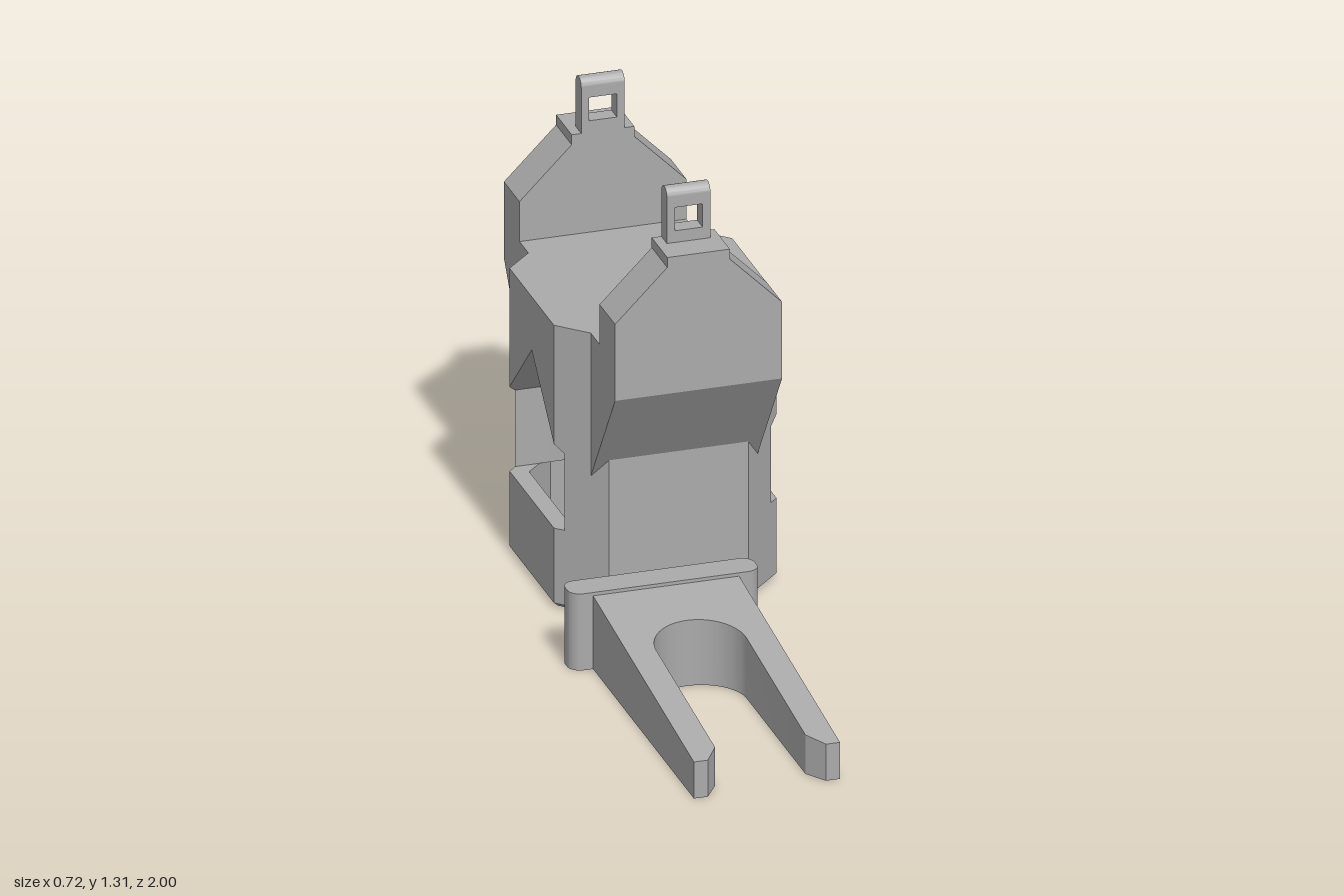
import * as THREE from 'three';
import { toCreasedNormals } from 'three/addons/utils/BufferGeometryUtils.js';

const gray = new THREE.MeshStandardMaterial({ color: 0xaaaaaa });
gray.name = 'gray';

const toShape = (pts) => new THREE.Shape(pts.map(([x, y]) => new THREE.Vector2(x, y)));

function add(parent, name, geometry) {
  const mesh = new THREE.Mesh(toCreasedNormals(geometry, 0.5), gray);
  mesh.name = name;
  parent.add(mesh);
  return mesh;
}

// Plan shape (x, -z) raised from y0 to y1
function raise(shape, y0, y1) {
  const g = new THREE.ExtrudeGeometry(shape, { depth: y1 - y0, bevelEnabled: false, curveSegments: 24 });
  return g.rotateX(-Math.PI / 2).translate(0, y0, 0);
}

// Move every vertex by a rule
function warp(g, rule) {
  const p = g.attributes.position;
  const v = new THREE.Vector3();
  for (let i = 0; i < p.count; i++) {
    rule(v.fromBufferAttribute(p, i));
    p.setXYZ(i, v.x, v.y, v.z);
  }
  return g;
}

// Chamfered rectangle of the housing, offset inwards
const A = 0.32, B = 0.317, C = 0.12;
function octagon(inset = 0) {
  const a = A - inset, b = B - inset, c = C - 0.586 * inset;
  return [[a, -b + c], [a, b - c], [a - c, b], [-a + c, b], [-a, b - c], [-a, -b + c], [-a + c, -b], [a - c, -b]];
}
function octagonRing(inset) {
  const s = toShape(octagon());
  s.holes.push(toShape(octagon(inset)));
  return s;
}

function arc(r, a0, a1, n) {
  return Array.from({ length: n + 1 }, (_, i) => {
    const t = a0 + (a1 - a0) * i / n;
    return [r * Math.cos(t), r * Math.sin(t)];
  });
}

function buildHousing() {
  const body = new THREE.Group();
  body.name = 'housing';
  const sill = 0.24, spring = 0.47, boreTop = 0.75, top = 0.85;
  const w = 0.22, r = 0.24;

  // Hollow base with chamfered foot and inner lip
  add(body, 'baseWall', raise(octagonRing(0.05), 0.015, sill));
  add(body, 'baseFoot', warp(raise(octagonRing(0.035), 0, 0.015), (v) => {
    if (v.y < 0.001) { v.x *= 0.95; v.z *= 0.95; }
  }));
  const lip = toShape(octagon(0.03));
  lip.holes.push(toShape(octagon(0.06)));
  add(body, 'baseLip', raise(lip, 0.016, 0.04));

  // End walls beside the window, hollowed by the round bore
  const t = Math.asin(w / r);
  const edge = A + B - C - w;
  for (const s of [1, -1]) {
    const pts = [[edge, w], [A - C, B], [-A + C, B], [-edge, w], ...arc(r, Math.PI - t, t, 20)];
    add(body, s > 0 ? 'backWall' : 'frontWall', raise(toShape(pts.map(([x, y]) => [x, y * s])), sill, boreTop));

    // Sloped window head, in quarters
    for (const m of [1, -1]) {
      const q = [[A, 0], [A, B - C], [edge, w], ...arc(r, t, 0, 16)];
      const g = raise(toShape(q.map(([x, y]) => [x * m, y * s])), spring, boreTop);
      add(body, 'windowHead', warp(g, (v) => {
        if (v.y < spring + 0.01) v.y = spring + w - Math.abs(v.z);
      }));
    }
  }
  add(body, 'topDeck', raise(toShape(octagon()), boreTop, top));

  for (const turn of [0, Math.PI]) {
    const bracket = buildBracket();
    bracket.name = turn ? 'backBracket' : 'frontBracket';
    bracket.rotation.y = turn;
    body.add(bracket);
  }
  return body;
}

function buildBracket() {
  const g = new THREE.Group();
  const half = 0.24, inner = 0.355, outer = 0.493;

  // Upright plate with sloped shoulders
  const right = [[half, 0.74], [half, 0.97], [0.09, 1.12], [0.09, 1.15]];
  const left = right.map(([x, y]) => [-x, y]).reverse();
  add(g, 'shoulderPlate', new THREE.ExtrudeGeometry(toShape([...right, ...left]),
    { depth: outer - inner, bevelEnabled: false }).translate(0, 0, inner));

  // Sloped underside joining the housing
  const skirt = [[outer, 0.74], [inner, 0.74], [inner, 0.85], [0.277, 0.85], [0.277, 0.42]];
  add(g, 'skirt', new THREE.ExtrudeGeometry(toShape(skirt), { depth: 2 * half, bevelEnabled: false })
    .rotateY(-Math.PI / 2).translate(half, 0, 0));

  // Pierced tab with a rounded top
  const tab = toShape([[-0.0625, 1.14], [0.0625, 1.14], [0.0625, 1.287], [-0.0625, 1.287]]);
  tab.holes.push(toShape([[-0.04, 1.185], [0.04, 1.185], [0.04, 1.255], [-0.04, 1.255]]));
  add(g, 'tab', new THREE.ExtrudeGeometry(tab, { depth: 0.05, bevelEnabled: false }).translate(0, 0, inner));
  add(g, 'tabTop', new THREE.CylinderGeometry(0.025, 0.025, 0.125, 24)
    .rotateZ(Math.PI / 2).translate(0, 1.287, inner + 0.025));
  return g;
}

function buildWedge() {
  const g = new THREE.Group();
  g.name = 'forkWedge';

  // Tapering fork, centred on its own x axis
  const fork = new THREE.Shape();
  fork.moveTo(-0.21, -0.09);
  fork.lineTo(-0.21, -1);
  fork.lineTo(-0.17, -1);
  fork.lineTo(-0.13, -0.94);
  fork.lineTo(-0.13, -0.42);
  fork.absarc(0, -0.42, 0.13, Math.PI, 0, true);
  fork.lineTo(0.13, -0.94);
  fork.lineTo(0.17, -1);
  fork.lineTo(0.21, -1);
  fork.lineTo(0.21, -0.09);
  add(g, 'fork', warp(raise(fork, 0, 0.22), (v) => {
    if (v.y > 0.1) v.y = 0.22 - (v.z - 0.105) * 0.123;
  }));

  // Head bar with rounded ends
  const head = new THREE.Shape();
  const x = 0.2725, r = 0.036, z0 = -0.105, z1 = -0.014;
  head.absarc(x - r, z0 + r, r, -Math.PI / 2, 0);
  head.absarc(x - r, z1 - r, r, 0, Math.PI / 2);
  head.absarc(-x + r, z1 - r, r, Math.PI / 2, Math.PI);
  head.absarc(-x + r, z0 + r, r, Math.PI, Math.PI * 1.5);
  add(g, 'headBar', raise(head, 0, 0.23));
  return g;
}

export function createModel() {
  const model = new THREE.Group();
  model.name = 'clampAndWedge';
  const housing = buildHousing();
  housing.position.set(0.04, 0, -0.507);
  const wedge = buildWedge();
  wedge.position.x = -0.092;
  model.add(housing, wedge);
  return model;
}
